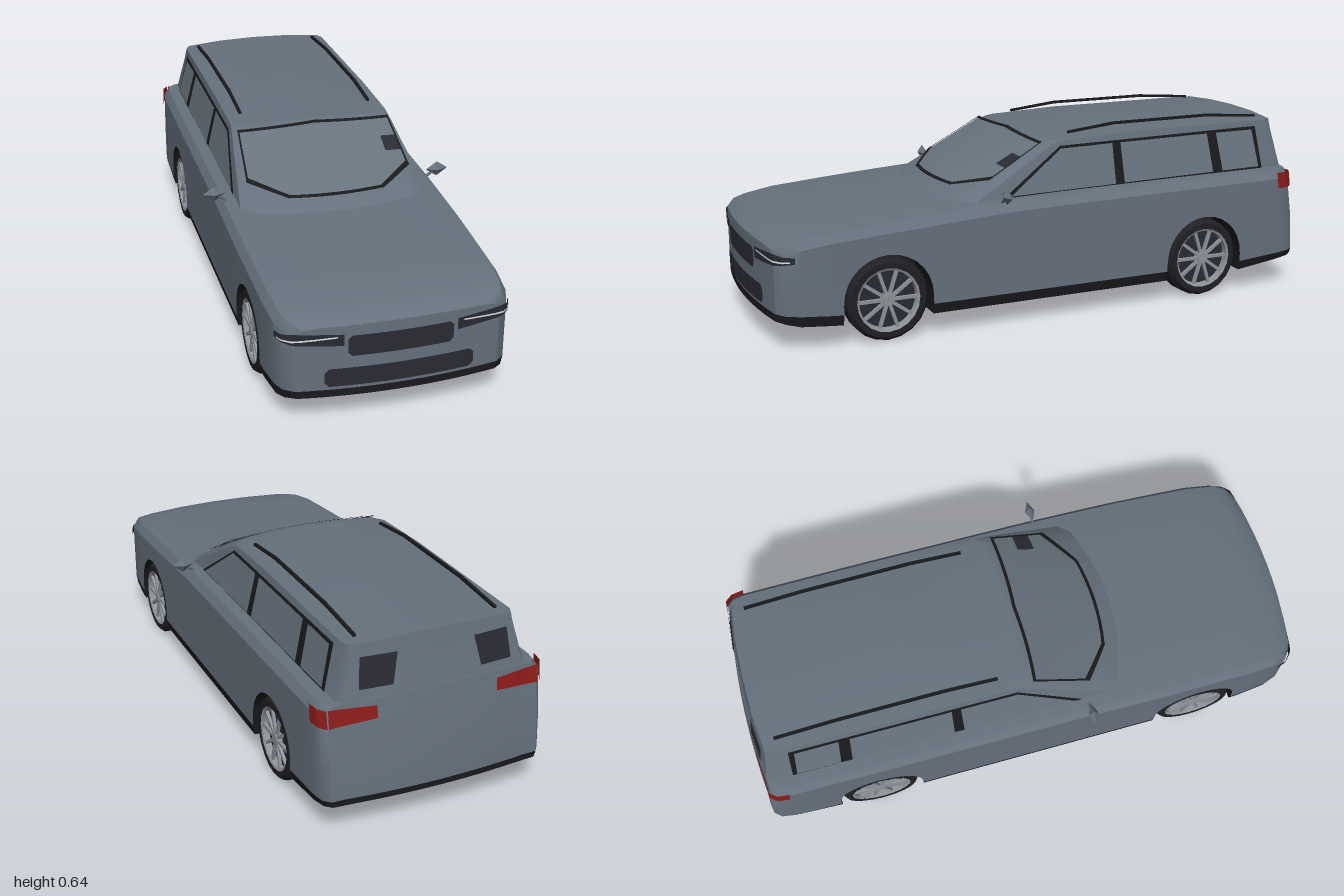
import * as THREE from 'three';
import { toCreasedNormals } from 'three/addons/utils/BufferGeometryUtils.js';

const V = (x, y, z) => new THREE.Vector3(x, y, z);
const clamp = THREE.MathUtils.clamp;

function material(name, color) {
  const m = new THREE.MeshStandardMaterial({ color, side: THREE.DoubleSide });
  m.name = name;
  return m;
}

// linear lookup in a short list of [key, value] pairs, ascending keys
function lerpTable(table, k) {
  if (k <= table[0][0]) return table[0][1];
  for (let i = 1; i < table.length; i++) {
    const [k0, v0] = table[i - 1], [k1, v1] = table[i];
    if (k <= k1) return v0 + (v1 - v0) * (k - k0) / (k1 - k0);
  }
  return table[table.length - 1][1];
}

// surface through rows of points
function gridGeo(rows) {
  const pos = [], index = [], n = rows[0].length;
  rows.forEach((row) => row.forEach((p) => pos.push(p.x, p.y, p.z)));
  for (let r = 0; r < rows.length - 1; r++) {
    for (let c = 0; c < n - 1; c++) {
      const a = r * n + c, d = a + n;
      index.push(a, a + 1, d + 1, a, d + 1, d);
    }
  }
  const g = new THREE.BufferGeometry();
  g.setAttribute('position', new THREE.Float32BufferAttribute(pos, 3));
  g.setIndex(index);
  return toCreasedNormals(g, 0.55);
}

// lower body dimensions along z
const WIDTH = [[-0.975, 0.36], [-0.95, 0.38], [-0.9, 0.387], [-0.5, 0.39], [0.5, 0.39], [0.8, 0.383], [0.9, 0.373], [0.945, 0.357], [0.97, 0.325]];
const TOP = [[-0.975, 0.435], [-0.4, 0.43], [0, 0.425], [0.2, 0.42], [0.4, 0.408], [0.6, 0.395], [0.8, 0.38], [0.9, 0.365], [0.945, 0.355], [0.97, 0.335]];
const BOTTOM = [[-0.975, 0.11], [-0.9, 0.1], [-0.7, 0.075], [0.75, 0.075], [0.9, 0.085], [0.97, 0.1]];
const SILL = [[-0.975, 0.13], [-0.7, 0.11], [0.75, 0.11], [0.97, 0.125]];
const AXLES = [0.61, -0.58], HUB = 0.143, ARCH = 0.152;

// bows both ends outward and leans the tail
function place(x, y, z) {
  const w = clamp((Math.abs(z) - 0.8) / 0.17, 0, 1);
  const bow = w * Math.max(0, 1 - (x / 0.33) ** 2);
  return z > 0 ? V(x, y, z + 0.03 * bow) : V(x, y, z - 0.02 * bow + 0.15 * w * Math.max(0, y - 0.2));
}

// right half of a body section, bottom centre to top centre
function section(z) {
  const w = lerpTable(WIDTH, z), t = lerpTable(TOP, z), b = lerpTable(BOTTOM, z), s = lerpTable(SILL, z);
  let arch = 0;
  for (const c of AXLES) {
    if (Math.abs(z - c) <= ARCH + 1e-6) arch = HUB + Math.sqrt(Math.max(0, ARCH ** 2 - (z - c) ** 2));
  }
  return [[0, b], [0.27, b], [0.27, Math.max(b, arch)], [w - 0.006, Math.max(b, arch)], [w, Math.max(s, arch)],
    [w, Math.max(0.25, arch)], [w, t - 0.03], [w - 0.02, t], [w - 0.08, t + 0.006], [w * 0.4, t + 0.009], [0, t + 0.01]];
}

// cabin shell dimensions by height
const cabinHalf = (y) => 0.335 - (y - 0.4) * 0.24;
const cabinRear = (y) => -0.96 + 0.19 * (y - 0.42);
function screenZ(x, y) {
  const f = (y - 0.4) / 0.2;
  return 0.42 - 0.4 * f - (0.06 - 0.04 * f) * (x / (0.88 * cabinHalf(y))) ** 2;
}
function cabinRing(y) {
  const h = cabinHalf(y), r = cabinRear(y);
  const half = [0, 0.25, 0.5, 0.75, 0.9].map((f) => V(f * h, y, screenZ(f * h, y)));
  half.push(V(h, y, screenZ(0.9 * h, y) - 0.04), V(h, y, -0.3), V(h, y, r + 0.045), V(0.95 * h, y, r + 0.016), V(0.5 * h, y, r + 0.003), V(0, y, r));
  return half.concat(half.slice(0, -1).reverse().map((p) => V(-p.x, p.y, p.z)));
}

export function createModel() {
  const car = new THREE.Group();
  const paint = material('body paint', 0x66717d), glass = material('glass', 0x68737e);
  const trim = material('black trim', 0x1a1a1d), dark = material('dark grille', 0x2a2b33);
  const rubber = material('tyre rubber', 0x202024), alloy = material('alloy', 0x8f959b);
  const red = material('tail lamp red', 0x8c1c1a), white = material('lamp white', 0xdfe3e6);

  const add = (name, geo, mat, parent = car) => {
    const m = new THREE.Mesh(geo, mat);
    m.name = name;
    parent.add(m);
    return m;
  };
  // four-cornered plate laid on a surface
  const patch = (name, mat, [a, b, c, d], map, n = 8) => {
    const rows = [0, 0.5, 1].map((v) => Array.from({ length: n + 1 }, (_, i) => {
      const u = i / n, mix = (k) => (a[k] * (1 - u) + b[k] * u) * (1 - v) + (d[k] * (1 - u) + c[k] * u) * v;
      return map(mix(0), mix(1));
    }));
    return add(name, gridGeo(rows), mat);
  };

  // lower body, wheel wells and sills
  const stations = [-0.975, -0.95, -0.9, -0.8, -0.3, -0.1, 0, 0.2, 0.3, 0.4, 0.8, 0.85, 0.9, 0.945, 0.97];
  for (const c of AXLES) {
    for (let k = 0; k <= 14; k++) stations.push(c + ARCH * Math.cos(Math.PI * k / 14));
    stations.push(c - ARCH - 0.0005, c + ARCH + 0.0005);
  }
  stations.sort((a, b) => a - b);
  const sweep = (from, to) => gridGeo(stations.map((z) => {
    const pts = section(z).slice(from, to);
    const right = pts.map(([x, y]) => place(x, y, z)), left = pts.map(([x, y]) => place(-x, y, z)).reverse();
    return from ? right.concat(left.slice(1)) : left.concat(right.slice(1));
  }));
  add('bodyShell', sweep(4, 11), paint);
  add('underbody', sweep(0, 5), trim);

  // nose and tail faces
  const cap = (z, from, to) => gridGeo(section(z).slice(from, to).map(([x, y]) =>
    Array.from({ length: 17 }, (_, i) => place(x * (i / 8 - 1) * Math.sign(z), y, z))));
  for (const [name, z] of [['nose', 0.97], ['tail', -0.975]]) {
    add(name + 'Panel', cap(z, 4, 11), paint);
    add(name + 'Valance', cap(z, 3, 5), trim);
  }

  // cabin and crowned roof
  const rings = [0.4, 0.5, 0.57].map(cabinRing);
  const edge = cabinRing(0.6);
  for (const s of [1, 0.94, 0.7, 0.35, 0]) {
    rings.push(edge.map((p) => {
      const z = -0.45 + (p.z + 0.45) * s, x = p.x * s;
      return V(x, 0.595 + 0.011 * (1 - (x / 0.287) ** 2) + 0.012 * clamp(-z / 0.3, 0, 1) + 0.004 * (1 - s), z);
    }));
  }
  add('cabin', gridGeo(rings), paint);

  // windscreen and its seal
  const onScreen = (lift) => (x, y) => V(x, y + lift, screenZ(x, y) + lift * 0.6);
  patch('windscreen', glass, [[-0.285, 0.485], [0.285, 0.485], [0.27, 0.592], [-0.27, 0.592]], onScreen(0.003), 16);
  patch('windscreenLower', glass, [[-0.17, 0.452], [0.17, 0.452], [0.285, 0.485], [-0.285, 0.485]], onScreen(0.003), 16);
  patch('screenSealBottom', trim, [[-0.17, 0.447], [0.17, 0.447], [0.17, 0.453], [-0.17, 0.453]], onScreen(0.005));
  patch('screenSticker', dark, [[0.222, 0.518], [0.285, 0.513], [0.278, 0.546], [0.222, 0.55]], onScreen(0.005), 3);

  const noseZ = (x) => x <= 0.325 ? 0.97 + 0.03 * (1 - (x / 0.33) ** 2)
    : lerpTable([[0.325, 0.971], [0.357, 0.945], [0.373, 0.9]], x);
  const tailZ = (x, y) => lerpTable([[0.36, -0.975], [0.38, -0.95], [0.387, -0.9]], x)
    - 0.02 * Math.max(0, 1 - (x / 0.33) ** 2) + 0.15 * Math.max(0, y - 0.2);

  for (const s of [1, -1]) {
    const screen = (x, y) => onScreen(0.005)(s * x, y);
    patch('screenSealCorner', trim, [[0.165, 0.446], [0.293, 0.479], [0.29, 0.49], [0.165, 0.454]], screen);
    patch('screenSealSide', trim, [[0.284, 0.485], [0.291, 0.485], [0.277, 0.59], [0.271, 0.59]], screen, 2);
    patch('screenSealTop', trim, [[0, 0.596], [0.277, 0.585], [0.277, 0.591], [0, 0.602]], screen);

    // side windows: black surround with three panes
    const side = (lift) => (z, y) => V(s * (cabinHalf(y) + lift), y, z);
    patch('windowSurround', trim, [[0.185, 0.422], [-0.852, 0.436], [-0.838, 0.588], [-0.045, 0.58]], side(0.003));
    for (const q of [
      [[0.155, 0.43], [-0.245, 0.436], [-0.245, 0.574], [-0.045, 0.571]],
      [[-0.28, 0.437], [-0.642, 0.442], [-0.63, 0.577], [-0.277, 0.574]],
      [[-0.682, 0.443], [-0.836, 0.445], [-0.82, 0.577], [-0.668, 0.577]],
    ]) patch('sideWindow', glass, q, side(0.006));

    // rear window pieces
    patch('rearWindow', dark, [[0.15, 0.475], [0.26, 0.475], [0.25, 0.572], [0.13, 0.572]],
      (x, y) => V(s * x, y, cabinRear(y) - 0.004 + 0.013 * clamp((x / cabinHalf(y) - 0.5) / 0.45, 0, 1)));

    // lamps wrapping the corners
    const nose = (lift) => (x, y) => V(s * (x + (x > 0.32 ? lift : 0)), y, noseZ(x) + lift);
    patch('headlamp', dark, [[0.18, 0.277], [0.33, 0.288], [0.33, 0.326], [0.18, 0.316]], nose(0.005));
    patch('headlampCorner', dark, [[0.33, 0.288], [0.37, 0.295], [0.37, 0.316], [0.33, 0.326]], nose(0.005));
    patch('headlampStrip', white, [[0.2, 0.306], [0.33, 0.299], [0.33, 0.305], [0.2, 0.311]], nose(0.007));
    patch('headlampStripCorner', white, [[0.33, 0.299], [0.365, 0.299], [0.365, 0.304], [0.33, 0.305]], nose(0.007));
    patch('tailLamp', red, [[0.205, 0.38], [0.36, 0.37], [0.36, 0.428], [0.205, 0.42]],
      (x, y) => V(s * x, y, tailZ(x, y) - 0.005));
    patch('tailLampCorner', red, [[0.36, 0.37], [0.386, 0.37], [0.386, 0.428], [0.36, 0.428]],
      (x, y) => V(s * (x + 0.005), y, tailZ(x, y) - 0.005), 12);

    // roof rail
    const rail = new THREE.Shape([[0.1, 0.61], [0.28, 0.628], [0.66, 0.628], [0.87, 0.612], [0.87, 0.62], [0.66, 0.637], [0.28, 0.637], [0.1, 0.618]]
      .map(([z, y]) => new THREE.Vector2(z, y)));
    const railMesh = add('roofRail', new THREE.ExtrudeGeometry(rail, { depth: 0.01, bevelEnabled: false }), trim);
    railMesh.rotation.y = Math.PI / 2;
    railMesh.position.x = s * 0.24 - 0.005;

    // door mirror
    const mirror = add('doorMirror', new THREE.OctahedronGeometry(1), paint);
    mirror.scale.set(0.04, 0.027, 0.018);
    mirror.position.set(s * 0.402, 0.448, 0.2);
    const arm = new THREE.LineCurve3(V(s * 0.345, 0.41, 0.2), V(s * 0.39, 0.442, 0.2));
    add('mirrorArm', new THREE.TubeGeometry(arm, 1, 0.005, 6), paint);
  }

  // grille and lower intake with chamfered corners
  const grille = (name, y0, y1, w, c) => add(name, gridGeo([[y0, w - c], [y0 + c, w], [y1 - c, w], [y1, w - c]].map(([y, h]) =>
    Array.from({ length: 17 }, (_, i) => V(h * (i / 8 - 1), y, noseZ(Math.abs(h * (i / 8 - 1))) + 0.005)))), dark);
  grille('grille', 0.24, 0.31, 0.167, 0.012);
  grille('lowerIntake', 0.138, 0.2, 0.238, 0.014);

  // wheels
  const lathe = (pts, n) => toCreasedNormals(new THREE.LatheGeometry(pts.map(([r, y]) => new THREE.Vector2(r, y)), n), 0.5);
  const tyreGeo = lathe([[0.108, -0.045], [0.128, -0.045], [0.14, -0.03], [0.14, 0.03], [0.128, 0.045], [0.108, 0.045], [0.108, -0.045]], 20);
  const rimGeo = lathe([[0.098, 0.02], [0.1, 0.041], [0.109, 0.045], [0.109, 0.02]], 30);
  const spokeGeo = new THREE.BoxGeometry(0.011, 0.01, 0.085);
  for (const z of AXLES) {
    for (const s of [1, -1]) {
      const wheel = new THREE.Group();
      wheel.name = 'wheel';
      add('tyre', tyreGeo, rubber, wheel);
      add('rim', rimGeo, alloy, wheel);
      add('wheelBack', new THREE.CylinderGeometry(0.106, 0.106, 0.03, 24), dark, wheel);
      add('hub', new THREE.CylinderGeometry(0.02, 0.024, 0.02, 12), alloy, wheel).position.y = 0.032;
      for (let k = 0; k < 10; k++) {
        const a = k * Math.PI / 5;
        const spoke = add('spoke', spokeGeo, alloy, wheel);
        spoke.position.set(Math.sin(a) * 0.06, 0.034, Math.cos(a) * 0.06);
        spoke.rotation.y = a;
      }
      wheel.rotation.z = -s * Math.PI / 2;
      wheel.position.set(s * 0.336, 0.14, z);
      car.add(wheel);
    }
  }
  return car;
}
